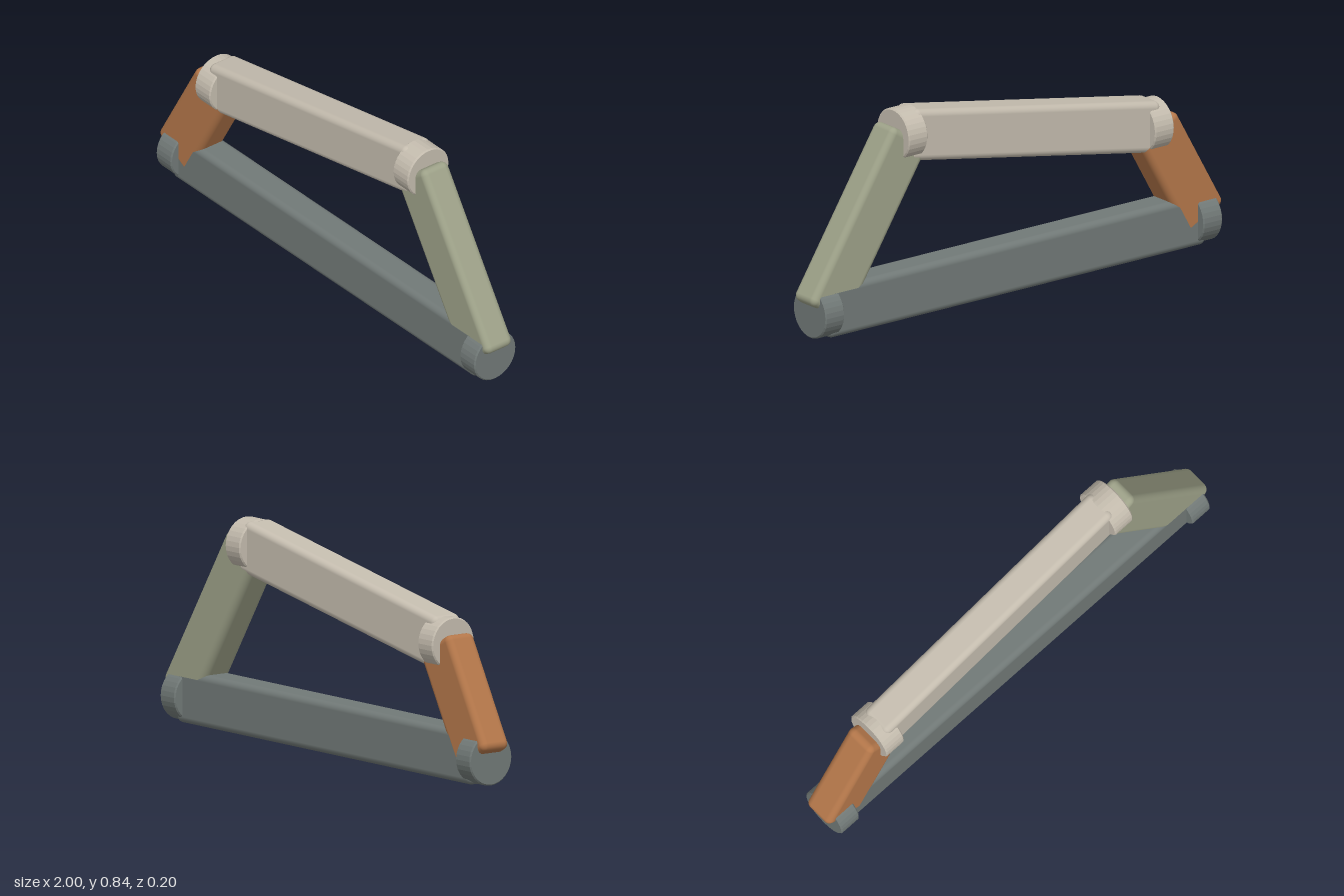
import * as THREE from 'three';
import { RoundedBoxGeometry } from 'three/addons/geometries/RoundedBoxGeometry.js';

const HEIGHT = 0.204;
const RADIUS = 0.102;

function makeMaterial(name, color) {
  const material = new THREE.MeshStandardMaterial({ color });
  material.name = name;
  return material;
}

// Faceted drum lying along x, with slightly bevelled rims
function drumGeometry() {
  const half = 0.046, bevel = 0.005;
  const profile = [
    [0, -half], [RADIUS - bevel, -half], [RADIUS, -half + bevel],
    [RADIUS, half - bevel], [RADIUS - bevel, half], [0, half],
  ].map(([r, y]) => new THREE.Vector2(r, y));
  const geometry = new THREE.LatheGeometry(profile, 32).toNonIndexed();
  geometry.computeVertexNormals();
  return geometry.rotateZ(-Math.PI / 2);
}

// Rounded bar whose end faces pass through two pivots
function makeBar(name, from, to, depth, material) {
  const span = to.clone().sub(from);
  const geometry = new RoundedBoxGeometry(span.length(), HEIGHT, depth, 3, 0.026);
  const bar = new THREE.Mesh(geometry, material);
  bar.name = name;
  bar.position.copy(from).add(to).multiplyScalar(0.5);
  bar.rotation.z = Math.atan2(span.y, span.x);
  return bar;
}

export function createModel() {
  const model = new THREE.Group();
  model.name = 'fourBarLinkage';

  const slate = makeMaterial('slate grey', 0x717977);
  const copper = makeMaterial('copper orange', 0xb4774a);
  const stone = makeMaterial('warm stone', 0xc4bcae);
  const sage = makeMaterial('sage green', 0x9da188);

  const pivots = {
    baseRight: new THREE.Vector3(-0.92, 0.102, 0),
    baseLeft: new THREE.Vector3(0.92, 0.102, 0),
    topRight: new THREE.Vector3(-0.685, 0.52, 0),
    topLeft: new THREE.Vector3(0.515, 0.738, 0),
  };

  // Bars, with minute depth differences where their faces overlap
  model.add(
    makeBar('groundBar', pivots.baseRight, pivots.baseLeft, 0.13, slate),
    makeBar('crank', pivots.baseRight, pivots.topRight, 0.131, copper),
    makeBar('coupler', pivots.topRight, pivots.topLeft, 0.132, stone),
    makeBar('rocker', pivots.baseLeft, pivots.topLeft, 0.129, sage),
  );

  // Joint drums take the colour of the bar they belong to
  const drum = drumGeometry();
  for (const [key, pivot] of Object.entries(pivots)) {
    const joint = new THREE.Mesh(drum, key.startsWith('base') ? slate : stone);
    joint.name = key + 'Joint';
    joint.position.copy(pivot);
    model.add(joint);
  }

  return model;
}
